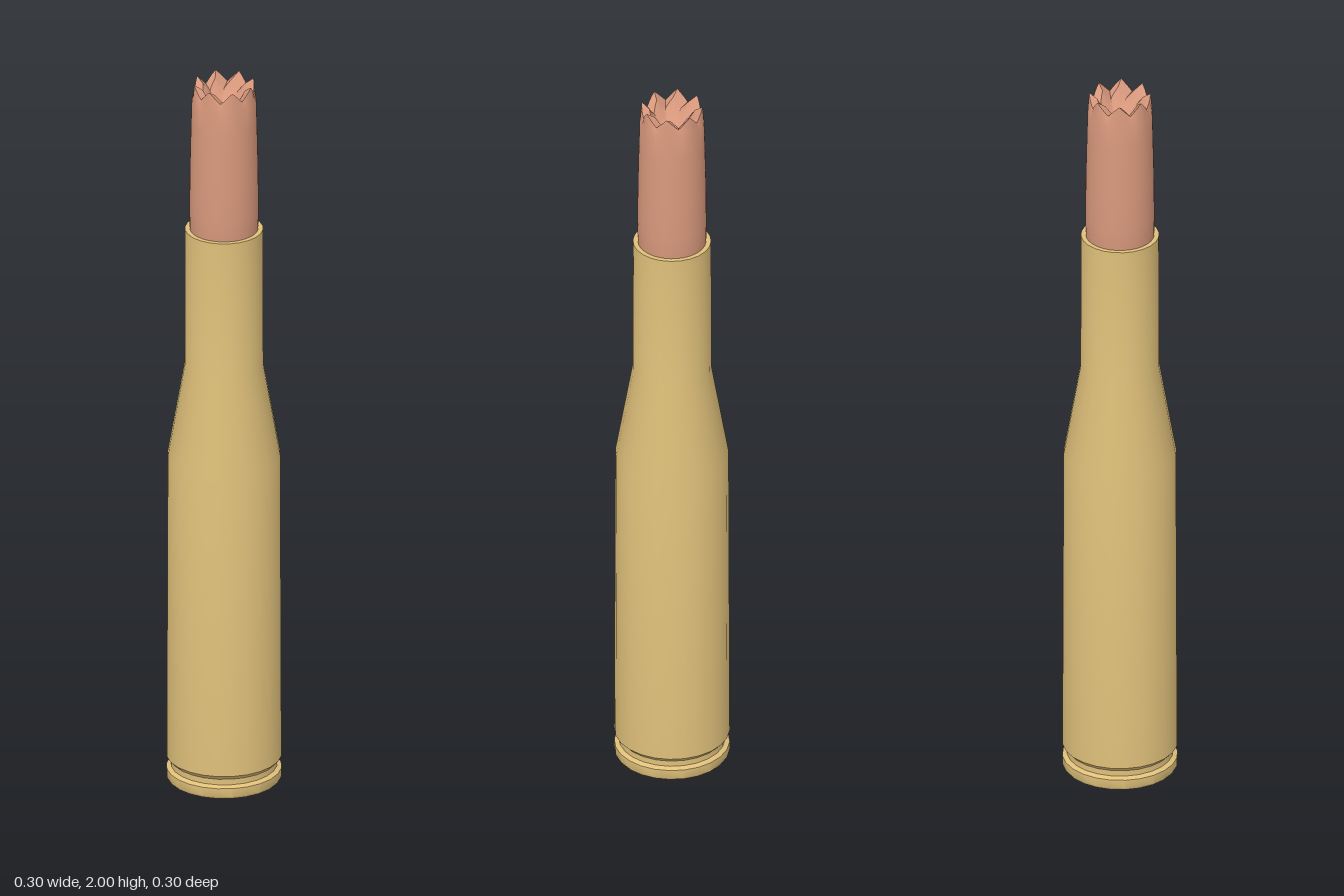
import * as THREE from 'three';
import { toCreasedNormals } from 'three/addons/utils/BufferGeometryUtils.js';

const brass = new THREE.MeshStandardMaterial({ color: 0xdfc07a });
brass.name = 'brass';
const copper = new THREE.MeshStandardMaterial({ color: 0xd8987c });
copper.name = 'copper';

const TEETH = 8;

function lathe(points, segments) {
  return new THREE.LatheGeometry(points.map(([r, y]) => new THREE.Vector2(r, y)), segments);
}

function addMesh(group, name, geometry, material) {
  const mesh = new THREE.Mesh(toCreasedNormals(geometry, 0.6), material);
  mesh.name = name;
  group.add(mesh);
}

// Turned profile whose top edge is cut into folded teeth
function crownedTip() {
  // radius, height, drop between teeth, inward pull between teeth, twist
  const rings = [
    [0.08, 1.5, 0, 0, 0],
    [0.09, 1.58, 0, 0, 0],
    [0.091, 1.64, 0, 0, 0],
    [0.09, 1.75, 0, 0, 0],
    [0.087, 1.88, 0, 0, 0],
    [0.085, 1.95, 0, 0, 0],
    [0.081, 2.0, 0.032, 0.004, 0],
    [0.06, 1.985, 0.028, 0.008, 0.12],
    [0.037, 1.94, 0.008, 0.005, 0.22],
    [0.02, 1.925, 0, 0, 0.22],
    [0, 1.92, 0, 0, 0],
  ];
  const segments = TEETH * 6;
  const geometry = lathe(rings, segments);
  const position = geometry.attributes.position;
  for (let i = 0; i < position.count; i++) {
    const [r, y, drop, pull, twist] = rings[i % rings.length];
    const step = Math.floor(i / rings.length) % segments;
    const valley = Math.abs((step % 6) - 3) / 3;
    const angle = (step / segments) * Math.PI * 2 + twist;
    const radius = r - pull * valley;
    position.setXYZ(i, radius * Math.sin(angle), y - drop * valley, radius * Math.cos(angle));
  }
  return geometry;
}

export function createModel() {
  const group = new THREE.Group();
  group.name = 'cartridge';

  // Base flange and extractor groove
  addMesh(group, 'baseRim', lathe([
    [0, 0], [0.148, 0], [0.152, 0.006], [0.152, 0.03], [0.14, 0.036], [0.14, 0.052],
  ], 24), brass);

  // Body, shoulder, neck and open mouth
  addMesh(group, 'case', lathe([
    [0.14, 0.052], [0.152, 0.065], [0.149, 0.93], [0.104, 1.19],
    [0.103, 1.578], [0.09, 1.578], [0.088, 1.5],
  ], 24), brass);

  addMesh(group, 'crownedTip', crownedTip(), copper);
  return group;
}
